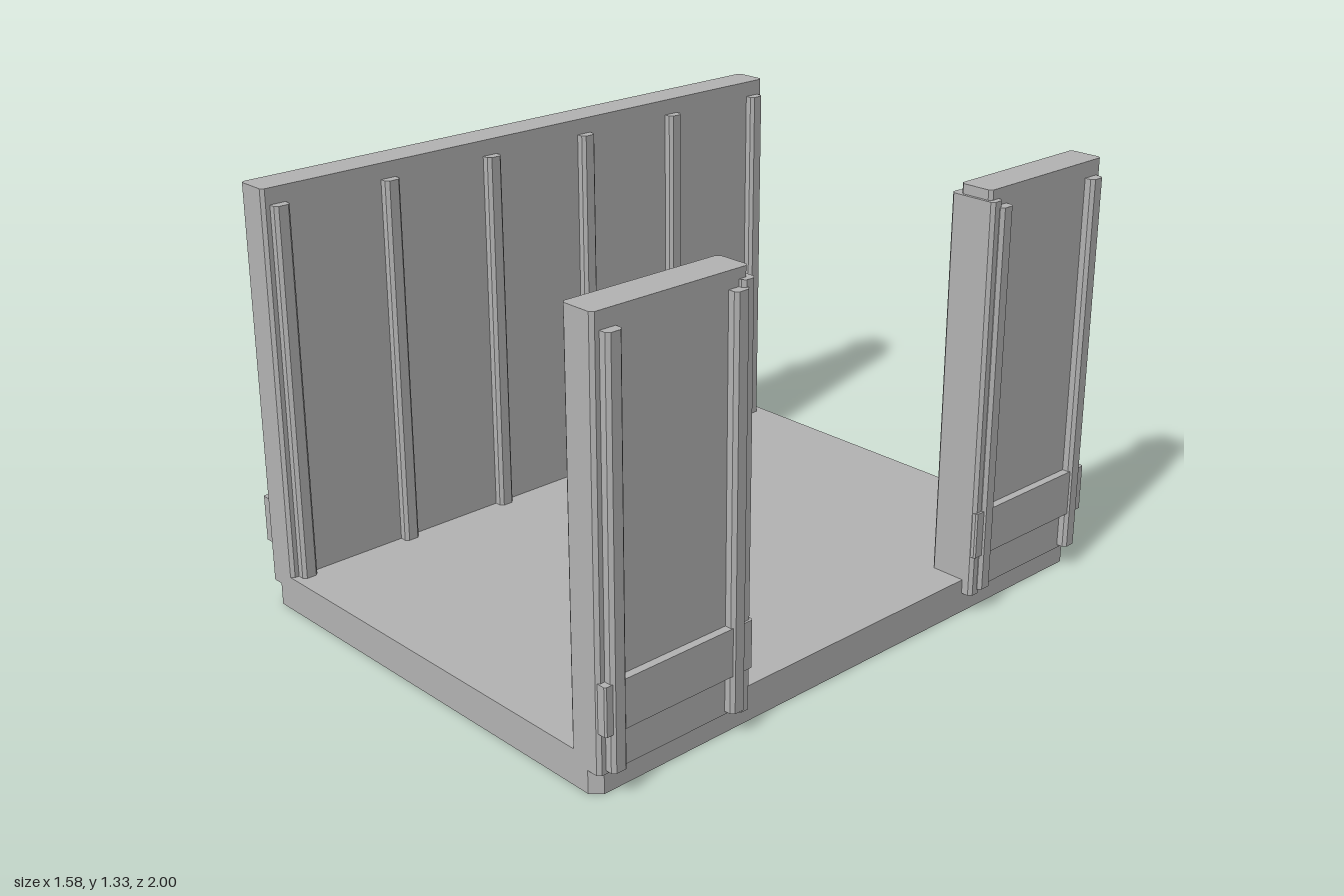
import * as THREE from 'three';

const grey = new THREE.MeshStandardMaterial({ color: 0xb4b4b4 });
grey.name = 'plain grey';

// Upright block between two corners, with its four vertical edges chamfered
function block(parent, name, [x0, x1], [y0, y1], [z0, z1], c = 0.01) {
  const w = (x1 - x0) / 2, d = (z1 - z0) / 2;
  const shape = new THREE.Shape([
    [-w + c, -d], [w - c, -d], [w, -d + c], [w, d - c],
    [w - c, d], [-w + c, d], [-w, d - c], [-w, -d + c],
  ].map(([x, y]) => new THREE.Vector2(x, y)));
  const geo = new THREE.ExtrudeGeometry(shape, { depth: y1 - y0, bevelEnabled: false });
  geo.rotateX(-Math.PI / 2);
  geo.translate((x0 + x1) / 2, y0, (z0 + z1) / 2);
  const mesh = new THREE.Mesh(geo, grey);
  mesh.name = name;
  parent.add(mesh);
}

// Pair of posts on the outer and inner faces of a wall; side is the sign of x
function posts(parent, side, z) {
  const range = (a, b) => (side > 0 ? [a, b] : [-b, -a]);
  const depth = [z - 0.026, z + 0.026];
  block(parent, 'outerPost', range(0.74, 0.79), [0.08, 1.28], depth);
  block(parent, 'innerPost', range(0.62, 0.67), [0.1, 1.28], depth);
}

export function createModel() {
  const model = new THREE.Group();
  model.name = 'openWalledPlatform';

  // Floor: chamfered plinth under a full slab
  block(model, 'floorPlinth', [-0.745, 0.745], [0, 0.07], [-1, 1], 0.03);
  block(model, 'floorSlab', [-0.745, 0.745], [0.07, 0.11], [-1, 1], 0.005);

  // Long unbroken wall
  const longWall = new THREE.Group();
  longWall.name = 'longWall';
  block(longWall, 'wallPanel', [-0.76, -0.65], [0.07, 1.33], [-1, 1]);
  block(longWall, 'wallBand', [-0.785, -0.75], [0.195, 0.34], [-0.997, 0.997], 0.005);
  for (const z of [0.19, 0.57, 0.95]) {
    posts(longWall, -1, z);
    posts(longWall, -1, -z);
  }
  model.add(longWall);

  // Two short walls either side of the wide opening
  for (const s of [1, -1]) {
    const span = (a, b) => (s > 0 ? [a, b] : [-b, -a]);
    const wall = new THREE.Group();
    wall.name = s > 0 ? 'frontShortWall' : 'backShortWall';
    block(wall, 'wallPanel', [0.65, 0.76], [0.07, 1.33], span(0.48, 1));
    block(wall, 'wallBand', [0.75, 0.785], [0.195, 0.34], span(0.471, 0.997), 0.005);
    block(wall, 'doorJamb', [0.625, 0.778], [0.065, 1.3], span(0.47, 0.515));
    posts(wall, 1, s * 0.95);
    posts(wall, 1, s * 0.525);
    model.add(wall);
  }

  return model;
}
